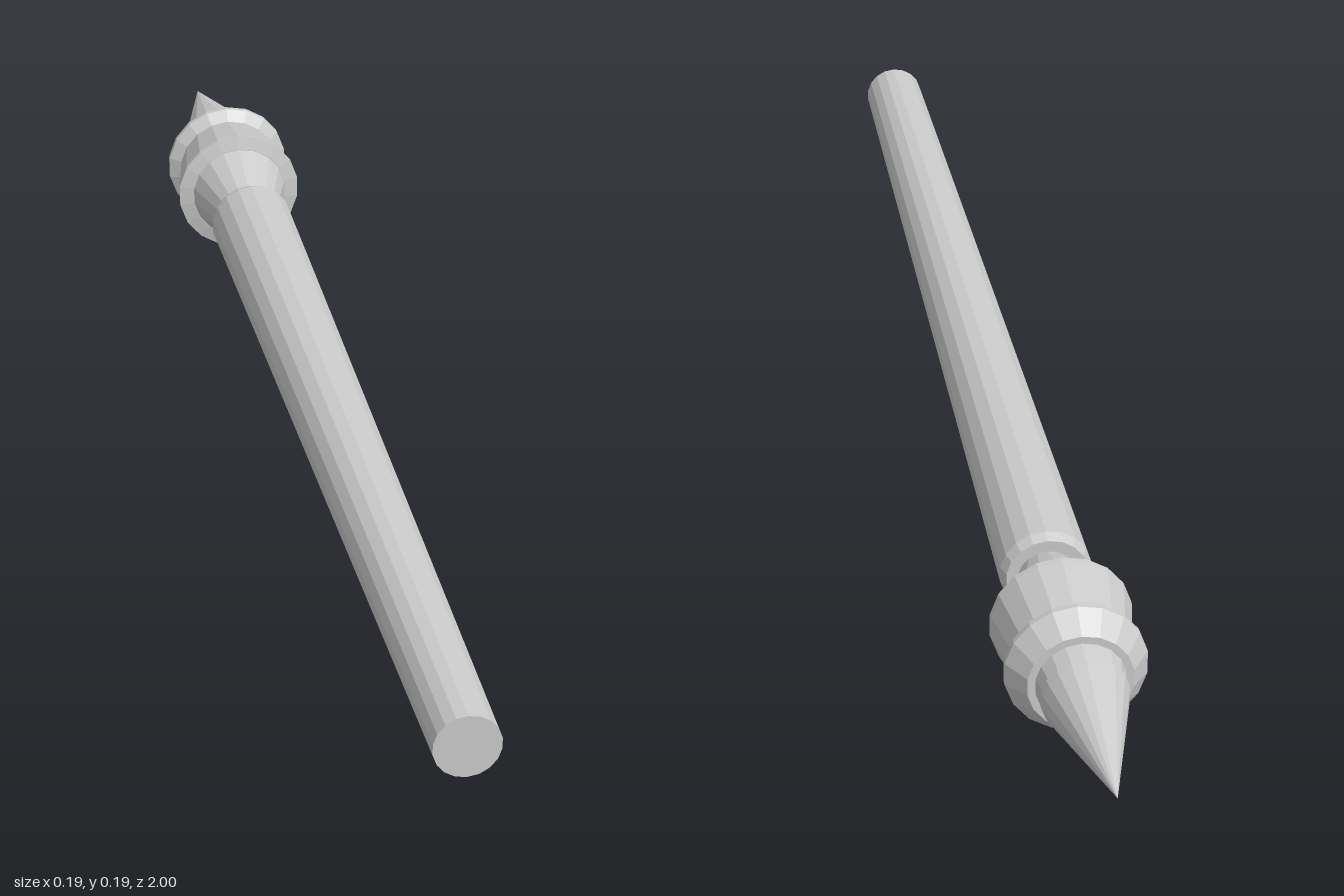
import * as THREE from 'three';

const SIDES = 18;
const AXIS_Y = 0.095;

export function createModel() {
  const group = new THREE.Group();
  const material = new THREE.MeshStandardMaterial({ color: 0xcccccc, flatShading: true });

  // Turned part: [radius, distance towards the back] pairs, spun about the z axis
  function turned(name, profile) {
    const points = profile.map(([r, d]) => new THREE.Vector2(r, d));
    const geometry = new THREE.LatheGeometry(points, SIDES);
    geometry.rotateX(-Math.PI / 2);
    const mesh = new THREE.Mesh(geometry, material);
    mesh.name = name;
    mesh.position.y = AXIS_Y;
    group.add(mesh);
  }

  // Long tapered shaft with a chamfered end
  turned('shaft', [[0, -1], [0.044, -1], [0.062, 0.485], [0.056, 0.5], [0, 0.5]]);

  // Neck flaring out below the head
  turned('neck', [[0.04, 0.49], [0.04, 0.5], [0.074, 0.6]]);

  // Barrel that narrows towards the collar
  turned('barrel', [[0, 0.597], [0.074, 0.597], [0.095, 0.602], [0.094, 0.61], [0.077, 0.698], [0, 0.698]]);

  // Raised collar ring
  turned('collar', [[0, 0.695], [0.077, 0.698], [0.094, 0.709], [0.094, 0.717], [0.07, 0.75], [0, 0.75]]);

  // Short waist under the point
  turned('waist', [[0.06, 0.748], [0.053, 0.782]]);

  // Conical point
  turned('point', [[0, 0.78], [0.058, 0.78], [0.056, 0.79], [0, 1]]);

  return group;
}
